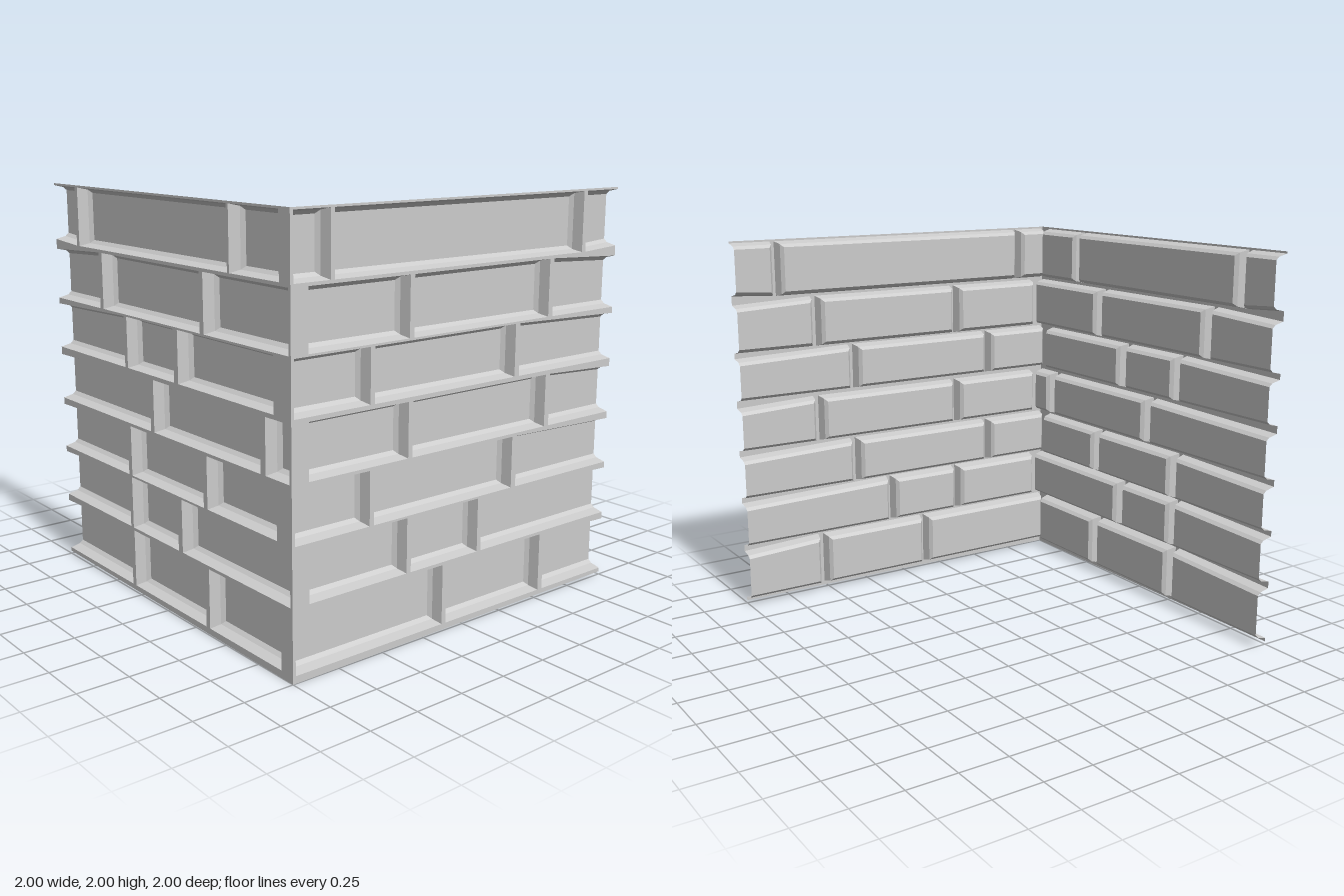
import * as THREE from 'three';

const material = new THREE.MeshStandardMaterial({ color: 0xcccccc, flatShading: true, side: THREE.DoubleSide });

// Courses from bottom to top: [bottom, top]
const courses = [[0.035, 0.325], [0.34, 0.6], [0.61, 0.86], [0.875, 1.13], [1.15, 1.4], [1.41, 1.685], [1.7, 1.99]];

// Start and end of each brick along the wall, measured from the corner at -1; the last one runs off the open end
const frontBricks = [
  [[-0.985, -0.135], [-0.11, 0.525], [0.555, 1]],
  [[-0.91, -0.36], [-0.335, 0.085], [0.11, 1]],
  [[-0.985, -0.58], [-0.555, 0.305], [0.335, 1]],
  [[-0.91, -0.36], [-0.335, 0.525], [0.555, 1]],
  [[-0.985, -0.58], [-0.555, 0.305], [0.335, 1]],
  [[-0.91, -0.36], [-0.335, 0.525], [0.555, 1]],
  [[-0.985, -0.795], [-0.775, 0.75], [0.775, 1]],
];
const sideBricks = [
  [[-0.92, -0.37], [-0.34, 0.3], [0.33, 1]],
  [[-0.985, -0.15], [-0.115, 0.305], [0.33, 1]],
  [[-0.895, -0.37], [-0.34, 0.3], [0.33, 1]],
  [[-0.985, -0.82], [-0.785, 0.075], [0.105, 1]],
  [[-0.88, -0.15], [-0.115, 0.305], [0.33, 1]],
  [[-0.985, -0.37], [-0.34, 0.525], [0.555, 1]],
  [[-0.925, -0.575], [-0.56, 0.75], [0.775, 1]],
];

// Four corners of a brick; bricks at the open end taper a little
function corners([u0, u1], row) {
  const [b, t] = courses[row];
  const open = u1 === 1, top = row === courses.length - 1;
  return [[u0, b], [u1, open && top ? b + 0.015 : b], [u1, open && !top ? t - 0.02 : t], [u0, t]];
}

// Brick shell: steep sides, a bevel, then the flat face (no cap at the open end)
function brickGeometry(span, row) {
  const open = span[1] === 1;
  const rings = [[0, 0], [0.012, 0.052], [0.028, 0.07]].map(([inset, depth]) =>
    corners(span, row).map(([u, y], i) => {
      const right = i === 1 || i === 2;
      const du = right ? (open ? 0 : -inset) : inset;
      return [u + du, y + (i < 2 ? inset : -inset), depth];
    }));
  const p = [];
  const quad = (a, b, c, d) => p.push(...a, ...b, ...c, ...a, ...c, ...d);
  for (let r = 0; r < 2; r++)
    for (let i = 0; i < 4; i++) {
      if (open && i === 1) continue;
      const j = (i + 1) % 4;
      quad(rings[r][i], rings[r][j], rings[r + 1][j], rings[r + 1][i]);
    }
  quad(...rings[2]);
  const g = new THREE.BufferGeometry();
  g.setAttribute('position', new THREE.Float32BufferAttribute(p, 3));
  return g;
}

// Flat mortar sheet, pierced behind every brick and notched at the open end
function mortarGeometry(rows) {
  const outline = [[-1, 0], [1, 0.015]];
  const holes = [];
  rows.forEach((bricks, row) => bricks.forEach((span) => {
    const [a, b, c, d] = corners(span, row);
    if (span[1] === 1) outline.push(b, a, d, c);
    else holes.push([a, d, c, b]);
  }));
  outline.push([1, 2], [-1, 2]);
  const points = (list) => list.map(([x, y]) => new THREE.Vector2(x, y));
  const shape = new THREE.Shape(points(outline));
  shape.holes = holes.map((h) => new THREE.Path(points(h)));
  return new THREE.ShapeGeometry(shape).toNonIndexed().deleteAttribute('uv');
}

// Place (along, up, depth) so that the bricks stand out towards the inside of the corner
function place(geometry, isFront) {
  const pos = geometry.attributes.position;
  for (let i = 0; i < pos.count; i++) {
    const u = pos.getX(i), y = pos.getY(i), d = pos.getZ(i);
    if (isFront) pos.setXYZ(i, u, y, 1 - d);
    else pos.setXYZ(i, d - 1, y, -u);
  }
  // The front wall is mirrored, so its corner order is reversed
  if (isFront) {
    for (let i = 0; i < pos.count; i += 3) {
      const b = new THREE.Vector3().fromBufferAttribute(pos, i + 1);
      const c = new THREE.Vector3().fromBufferAttribute(pos, i + 2);
      pos.setXYZ(i + 1, c.x, c.y, c.z);
      pos.setXYZ(i + 2, b.x, b.y, b.z);
    }
  }
  geometry.computeVertexNormals();
  return geometry;
}

function wall(name, rows, isFront) {
  const group = new THREE.Group();
  group.name = name;
  const add = (geometry, part) => {
    const mesh = new THREE.Mesh(place(geometry, isFront), material);
    mesh.name = part;
    group.add(mesh);
  };
  add(mortarGeometry(rows), 'mortar');
  rows.forEach((bricks, row) => bricks.forEach((span) => add(brickGeometry(span, row), 'brick')));
  return group;
}

export function createModel() {
  const model = new THREE.Group();
  model.name = 'brickCorner';
  model.add(wall('frontWall', frontBricks, true), wall('sideWall', sideBricks, false));
  return model;
}
